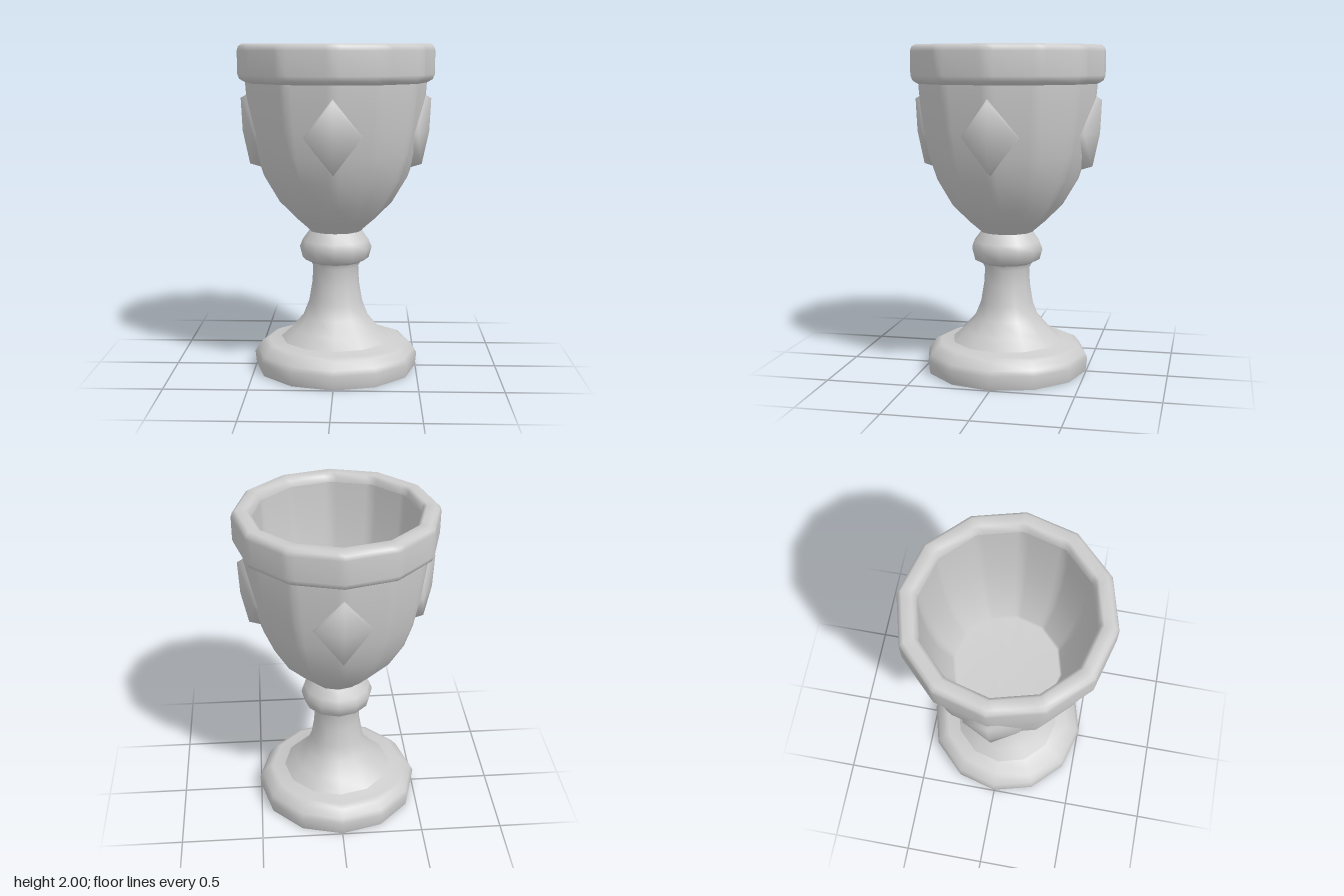
import * as THREE from 'three';
import { mergeVertices } from 'three/addons/utils/BufferGeometryUtils.js';

const SIDES = 12;

// Twelve-sided turned part. With softEdges, extra columns beside each corner
// keep the panels flat and round only the shading along the corners.
function turned(profile, softEdges) {
  const points = profile.map(([r, y]) => new THREE.Vector2(r, y));
  const columns = softEdges ? SIDES * 3 : SIDES;
  const geo = new THREE.LatheGeometry(points, columns);
  geo.deleteAttribute('normal');
  geo.deleteAttribute('uv');
  if (softEdges) {
    const pos = geo.attributes.position;
    const step = (Math.PI * 2) / SIDES;
    const near = THREE.MathUtils.degToRad(4);
    for (let c = 0; c <= columns; c++) {
      const offset = (c + 1) % 3 - 1; // -1, 0, 1 around each corner
      const angle = Math.floor((c + 1) / 3) * step + offset * near;
      const scale = offset ? Math.cos(step / 2) / Math.cos(step / 2 - near) : 1;
      points.forEach((p, j) => {
        const r = p.x * scale;
        pos.setXYZ(c * points.length + j, Math.sin(angle) * r, p.y, Math.cos(angle) * r);
      });
    }
  }
  const merged = mergeVertices(geo, 1e-5);
  merged.computeVertexNormals();
  return merged;
}

// Diamond stud: a back outline, a narrower front outline and a raised centre
function studGeometry() {
  const back = [[0, 1.25, 0.44], [0.185, 1.475, 0.43], [0, 1.71, 0.52], [-0.185, 1.475, 0.43]];
  const front = [[0, 1.275, 0.525], [0.16, 1.475, 0.495], [0, 1.675, 0.578], [-0.16, 1.475, 0.495]];
  const centre = [0, 1.475, 0.568];
  const v = [];
  for (let i = 0; i < 4; i++) {
    const j = (i + 1) % 4;
    v.push(...back[i], ...back[j], ...front[j], ...back[i], ...front[j], ...front[i]);
    v.push(...front[i], ...front[j], ...centre);
  }
  const geo = new THREE.BufferGeometry();
  geo.setAttribute('position', new THREE.Float32BufferAttribute(v, 3));
  const merged = mergeVertices(geo, 1e-5);
  merged.computeVertexNormals();
  return merged;
}

export function createModel() {
  const group = new THREE.Group();
  const metal = new THREE.MeshStandardMaterial({ color: 0xcccccc });
  metal.name = 'pale grey';

  const add = (name, geo) => {
    const mesh = new THREE.Mesh(geo, metal);
    mesh.name = name;
    group.add(mesh);
    return mesh;
  };

  // Foot and its flat underside
  add('foot', turned([
    [0.495, 0], [0.5, 0.02], [0.507, 0.085], [0.49, 0.115], [0.455, 0.16],
    [0.42, 0.175], [0.34, 0.185], [0.3, 0.215],
  ], false));
  const underside = add('underside', new THREE.CircleGeometry(0.495, SIDES));
  underside.rotation.x = Math.PI / 2;

  // Flared stem with a knob
  add('stem', turned([
    [0.34, 0.185], [0.27, 0.25], [0.2, 0.33], [0.165, 0.42], [0.145, 0.54], [0.14, 0.64], [0.16, 0.68],
  ], false));
  add('knob', turned([
    [0.13, 0.655], [0.165, 0.675], [0.205, 0.695], [0.222, 0.76], [0.205, 0.805],
    [0.165, 0.86], [0.155, 0.88],
  ], false));

  // Panelled bowl: outer wall, thick rim, inner wall and floor
  add('bowl', turned([
    [0.15, 0.85], [0.17, 0.875], [0.24, 0.935], [0.345, 1.04], [0.44, 1.2], [0.49, 1.35],
    [0.52, 1.5], [0.54, 1.65], [0.548, 1.74], [0.55, 1.775],
  ], true));
  add('rim', turned([
    [0.54, 1.765], [0.56, 1.775], [0.585, 1.79], [0.597, 1.82], [0.598, 1.96], [0.59, 1.985],
    [0.57, 2], [0.515, 2], [0.495, 1.985], [0.487, 1.95],
  ], true));
  add('bowlInside', turned([
    [0.487, 1.95], [0.482, 1.8], [0.46, 1.55], [0.41, 1.32], [0.335, 1.16], [0.32, 1.15], [0, 1.15],
  ], true));

  // Four studs around the bowl
  const stud = studGeometry();
  ['front', 'left', 'back', 'right'].forEach((side, i) => {
    add(side + 'Stud', stud).rotation.y = (i * Math.PI) / 2;
  });

  return group;
}
